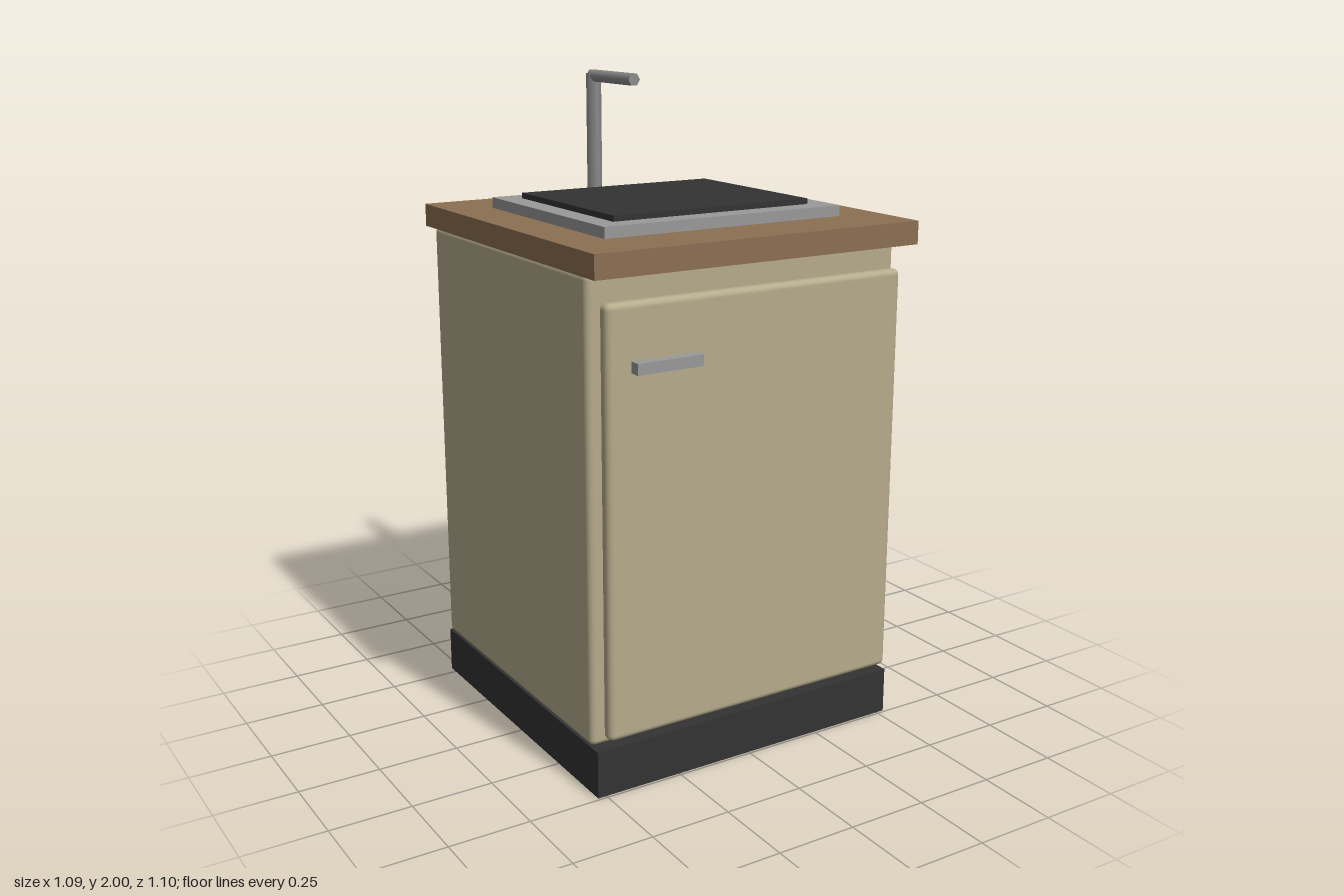
import * as THREE from 'three';
import { RoundedBoxGeometry } from 'three/addons/geometries/RoundedBoxGeometry.js';

function material(name, color) {
  const m = new THREE.MeshStandardMaterial({ color });
  m.name = name;
  return m;
}

export function createModel() {
  const model = new THREE.Group();
  model.name = 'sinkCabinet';

  const cream = material('cream paint', 0xb5ab8c);
  const wood = material('brown wood', 0x8b6f52);
  const black = material('dark grey', 0x333333);
  const steel = material('steel', 0x999999);
  const faucetSteel = material('faucet steel', 0x8c8c8c);

  const add = (name, geometry, mat) => {
    const mesh = new THREE.Mesh(geometry, mat);
    mesh.name = name;
    model.add(mesh);
    return mesh;
  };

  // Box given by its limits on each axis; a radius rounds its edges
  const box = (name, mat, [x0, x1], [y0, y1], [z0, z1], radius = 0) => {
    const size = [x1 - x0, y1 - y0, z1 - z0];
    const geometry = radius
      ? new RoundedBoxGeometry(...size, 2, radius)
      : new THREE.BoxGeometry(...size);
    add(name, geometry, mat).position.set((x0 + x1) / 2, (y0 + y1) / 2, (z0 + z1) / 2);
  };

  // Cabinet
  box('plinth', black, [-0.527, 0.527], [0, 0.145], [-0.532, 0.492]);
  box('cabinetBody', cream, [-0.527, 0.527], [0.145, 1.525], [-0.532, 0.456], 0.018);
  box('door', cream, [-0.5, 0.505], [0.178, 1.452], [0.473, 0.518], 0.018);
  box('doorHandle', steel, [-0.423, -0.213], [1.257, 1.29], [0.513, 0.552]);

  // Worktop and sink
  box('worktop', wood, [-0.546, 0.546], [1.525, 1.595], [-0.552, 0.54]);
  box('sinkRim', steel, [-0.404, 0.404], [1.59, 1.628], [-0.358, 0.345]);
  box('sinkBasin', black, [-0.336, 0.336], [1.62, 1.645], [-0.288, 0.275]);

  // Six-sided faucet: upright pipe and forward spout
  add('faucetPipe', new THREE.CylinderGeometry(0.024, 0.024, 0.395, 6), faucetSteel)
    .position.set(0, 1.7925, -0.43);
  const spoutGeometry = new THREE.CylinderGeometry(0.0207, 0.0207, 0.265, 6);
  spoutGeometry.rotateY(Math.PI / 2).rotateX(Math.PI / 2);
  add('faucetSpout', spoutGeometry, faucetSteel).position.set(0, 1.982, -0.307);

  return model;
}
